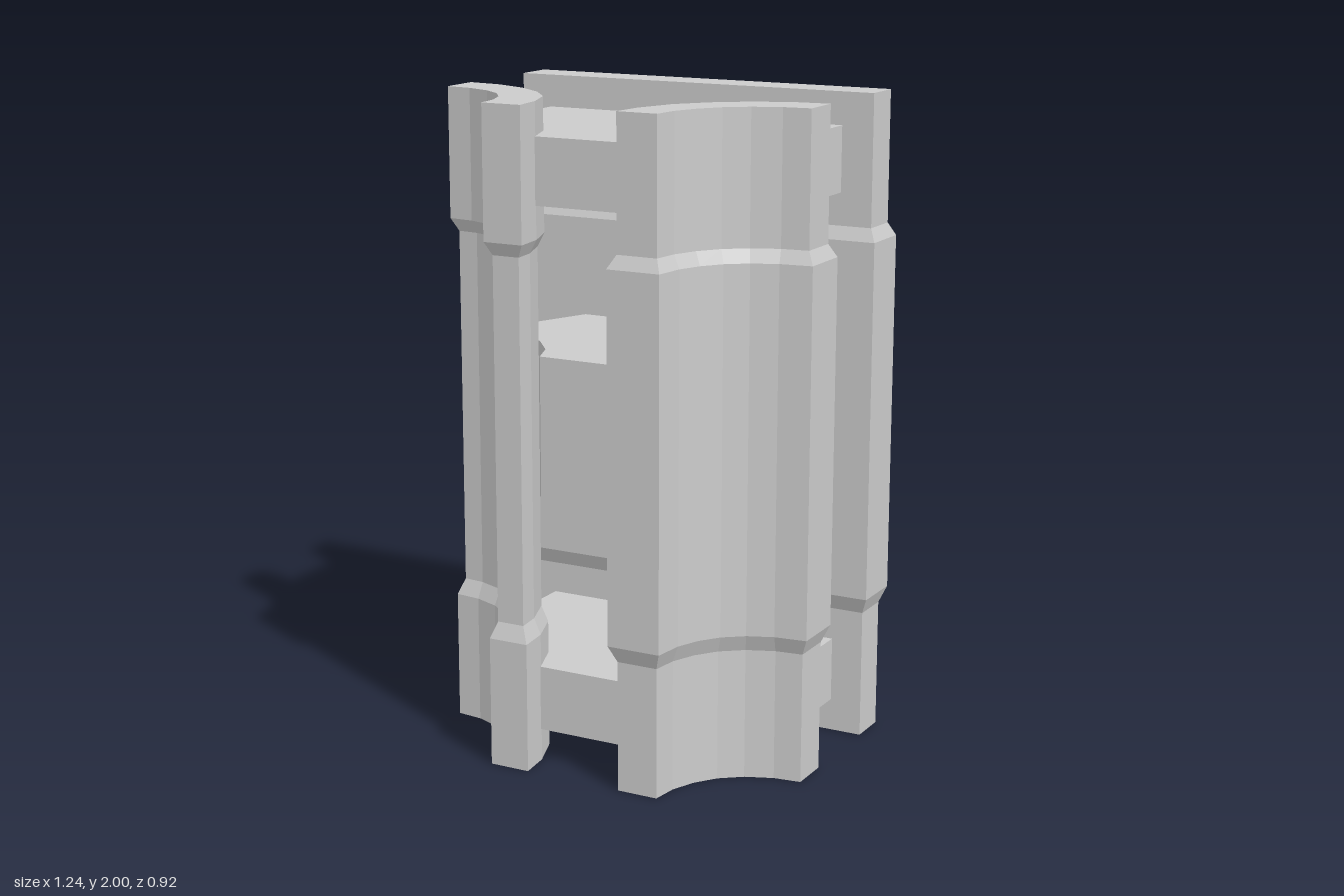
import * as THREE from 'three';

const material = new THREE.MeshStandardMaterial({ color: 0xcccccc, flatShading: true });

// Grow (d > 0) or shrink (d < 0) a counter-clockwise outline with mitred corners
function offset(points, d) {
  const n = points.length;
  const normal = (a, b) => new THREE.Vector2(b.y - a.y, a.x - b.x).normalize();
  return points.map((p, i) => {
    const n1 = normal(points[(i + n - 1) % n], p);
    const n2 = normal(p, points[(i + 1) % n]);
    const k = d / (1 + n1.dot(n2));
    return p.clone().add(n1.add(n2).multiplyScalar(k));
  });
}

// Upright solid from a plan outline of [x, z] pairs; levels are [height, offset]
function upright(name, outline, levels) {
  const base = outline.map(([x, z]) => new THREE.Vector2(x, -z));
  if (THREE.ShapeUtils.isClockWise(base)) base.reverse();
  const rings = levels.map(([y, d]) =>
    offset(base, d).map((p) => new THREE.Vector3(p.x, y, -p.y)));
  const verts = [];
  const tri = (...corners) => corners.forEach((v) => verts.push(v.x, v.y, v.z));
  for (let r = 0; r + 1 < rings.length; r++) {
    const lo = rings[r], hi = rings[r + 1];
    lo.forEach((a, i) => {
      const j = (i + 1) % lo.length;
      tri(a, lo[j], hi[j]);
      tri(a, hi[j], hi[i]);
    });
  }
  const bottom = rings[0], top = rings[rings.length - 1];
  for (const [a, b, c] of THREE.ShapeUtils.triangulateShape(base, [])) {
    tri(top[a], top[b], top[c]);
    tri(bottom[a], bottom[c], bottom[b]);
  }
  const geometry = new THREE.BufferGeometry();
  geometry.setAttribute('position', new THREE.Float32BufferAttribute(verts, 3));
  geometry.computeVertexNormals();
  const mesh = new THREE.Mesh(geometry, material);
  mesh.name = name;
  return mesh;
}

const mirror = (points) => points.map(([x, z]) => [-x, z]);
const symmetric = (half) => [...half, ...mirror(half).reverse()];
const banded = (d) => [[0, 0], [0.4, 0], [0.45, d], [1.56, d], [1.6, 0], [2, 0]];

export function createModel() {
  const group = new THREE.Group();

  // Flat back wall with a thicker middle band
  const wall = [[-0.6, -0.44], [0.6, -0.44], [0.6, -0.315], [-0.6, -0.315]];
  group.add(upright('backWall', wall, banded(0.02)));

  // Curved corner walls: the left one swells in the middle, the right one is recessed
  const inner = [[0.6, -0.007], [0.49, 0.006], [0.38, 0.052], [0.285, 0.125],
    [0.212, 0.215], [0.167, 0.335], [0.155, 0.437]];
  const outer = [[0.283, 0.437], [0.293, 0.355], [0.323, 0.28], [0.37, 0.215],
    [0.435, 0.165], [0.517, 0.132], [0.6, 0.122]];
  const curved = [...inner, ...outer];
  group.add(upright('leftCurvedWall', curved, banded(0.02)));
  group.add(upright('rightCurvedWall', mirror(curved), banded(-0.02)));

  // Floor plates joining the walls, fitted to the curves
  const fit = inner.slice(1, 6);
  const plate = symmetric([[0.5, -0.315], [0.5, 0.006], ...fit.slice(1, 4), [0.167, 0.34]]);
  group.add(upright('lowerPlate', plate, [[0.1, 0], [0.3, 0]]));
  group.add(upright('upperPlate', plate, [[1.7, 0], [1.9, 0]]));

  // Central block, tapering towards the back wall
  const core = symmetric([[0.36, -0.315], [0.495, 0], ...fit.slice(1, 4), [0.175, 0.31]]);
  group.add(upright('centralBlock', core, [[0.76, 0], [1.25, 0]]));

  return group;
}
